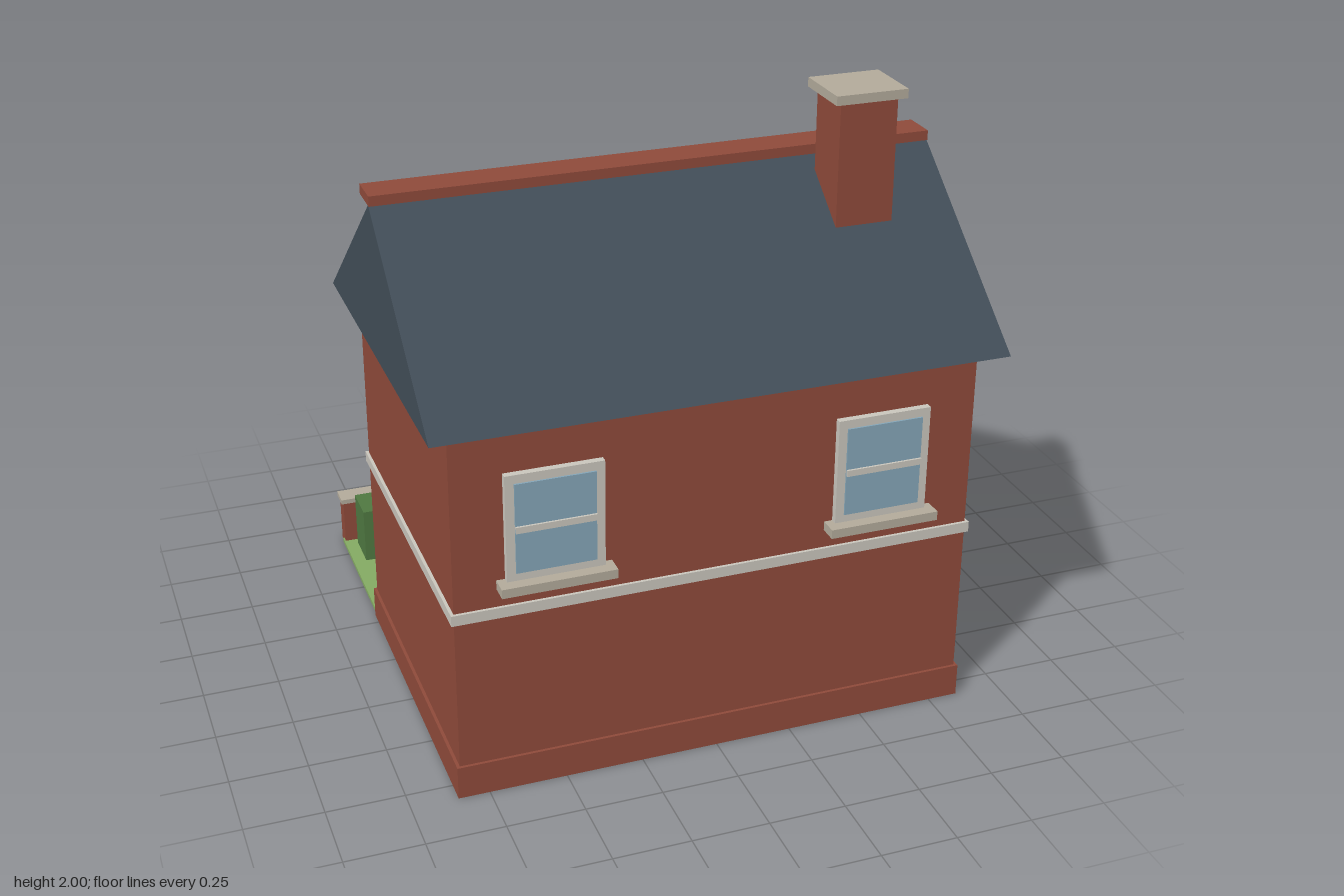
import * as THREE from 'three';

const mat = (name, color) => {
  const m = new THREE.MeshStandardMaterial({ color });
  m.name = name;
  return m;
};

export function createModel() {
  const brick = mat('brick', 0x8e4a3a);
  const slate = mat('slate', 0x414d57);
  const trim = mat('pale trim', 0xc9c5bc);
  const stone = mat('stone', 0xb2aa9a);
  const glass = mat('glass', 0x84a5b7);
  const grass = mat('grass', 0x84aa63);
  const leaf = mat('hedge green', 0x4f7841);
  const binGreen = mat('bin green', 0x2d4f3c);
  const blue = mat('door blue', 0x1f3f94);
  const brass = mat('brass', 0xa3943f);

  const house = new THREE.Group();
  house.name = 'house';

  // box given by its limits along each axis
  const box = (name, material, [x0, x1], [y0, y1], [z0, z1], parent = house) => {
    const m = new THREE.Mesh(new THREE.BoxGeometry(x1 - x0, y1 - y0, z1 - z0), material);
    m.position.set((x0 + x1) / 2, (y0 + y1) / 2, (z0 + z1) / 2);
    m.name = name;
    parent.add(m);
    return m;
  };

  // main block
  box('plinth', brick, [-0.85, 0.85], [0, 0.11], [-0.3, 0.82]);
  box('walls', brick, [-0.84, 0.84], [0.11, 1.25], [-0.29, 0.81]);
  box('stringCourse', trim, [-0.85, 0.85], [0.615, 0.65], [-0.3, 0.82]);

  // gabled roof: triangle in the z-y plane, extruded along x
  const gable = new THREE.Shape([
    new THREE.Vector2(-0.37, 1.25),
    new THREE.Vector2(0.89, 1.25),
    new THREE.Vector2(0.26, 1.745),
  ]);
  const roofGeo = new THREE.ExtrudeGeometry(gable, { depth: 1.82, bevelEnabled: false });
  roofGeo.rotateY(-Math.PI / 2).translate(0.91, 0, 0);
  const roof = new THREE.Mesh(roofGeo, slate);
  roof.name = 'roof';
  house.add(roof);
  box('ridge', brick, [-0.91, 0.91], [1.743, 1.775], [0.152, 0.27]);

  // chimney
  box('chimneyStack', brick, [0.5, 0.69], [1.5, 1.97], [0.31, 0.48]);
  box('chimneyCap', stone, [0.478, 0.715], [1.97, 2], [0.285, 0.497]);

  // sash window, built facing +z with its sill top at y = 0
  const addWindow = (name, x, y, back) => {
    const w = new THREE.Group();
    w.name = name;
    box('frame', trim, [-0.153, 0.153], [0, 0.35], [0, 0.022], w);
    box('pane', glass, [-0.125, 0.125], [0.027, 0.322], [0.022, 0.028], w);
    box('sashBar', trim, [-0.125, 0.125], [0.163, 0.184], [0.022, 0.035], w);
    box('sill', stone, [-0.18, 0.18], [-0.03, 0], [0, 0.06], w);
    w.position.set(x, y, back ? -0.29 : 0.81);
    if (back) w.rotation.y = Math.PI;
    house.add(w);
  };
  for (const x of [-0.527, 0.527]) {
    addWindow('frontWindow', x, 0.74, false);
    addWindow('upperWindow', x, 0.74, true);
    addWindow('lowerWindow', x, 0.2, true);
  }
  addWindow('upperWindow', 0, 0.74, true);

  // door, its furniture, lamp and steps
  box('doorFrame', trim, [-0.18, 0.18], [0.08, 0.585], [-0.312, -0.29]);
  box('door', blue, [-0.13, 0.13], [0.08, 0.55], [-0.32, -0.312]);
  box('letterPlate', brass, [-0.05, 0.05], [0.455, 0.495], [-0.326, -0.32]);
  box('knocker', brass, [-0.016, 0.016], [0.365, 0.405], [-0.332, -0.32]);
  box('lamp', trim, [0.222, 0.278], [0.51, 0.575], [-0.35, -0.29]);
  box('upperStep', stone, [-0.205, 0.205], [0.045, 0.083], [-0.388, -0.29]);
  box('lowerStep', stone, [-0.228, 0.228], [0.01, 0.045], [-0.463, -0.29]);

  // garden
  box('lawn', grass, [-0.845, 0.845], [0, 0.015], [-0.85, -0.3]);
  box('path', stone, [-0.147, 0.147], [0.008, 0.02], [-0.853, -0.4]);
  box('hedge', leaf, [-0.8, -0.317], [0.01, 0.215], [-0.8, -0.658]);
  for (const x of [0.473, 0.648]) {
    box('bin', binGreen, [x - 0.066, x + 0.066], [0.01, 0.245], [-0.76, -0.635]);
    box('binLid', binGreen, [x - 0.073, x + 0.073], [0.245, 0.26], [-0.772, -0.627]);
  }

  // garden wall, mirrored on both sides of the path
  const side = (s, a, b) => (s > 0 ? [a, b] : [-b, -a]);
  for (const s of [-1, 1]) {
    box('gardenWall', brick, side(s, 0.2, 0.84), [0, 0.175], [-0.885, -0.825]);
    box('coping', stone, side(s, 0.2, 0.848), [0.175, 0.192], [-0.893, -0.817]);
    box('gatePost', brick, side(s, 0.14, 0.2), [0, 0.24], [-0.893, -0.817]);
  }
  return house;
}
